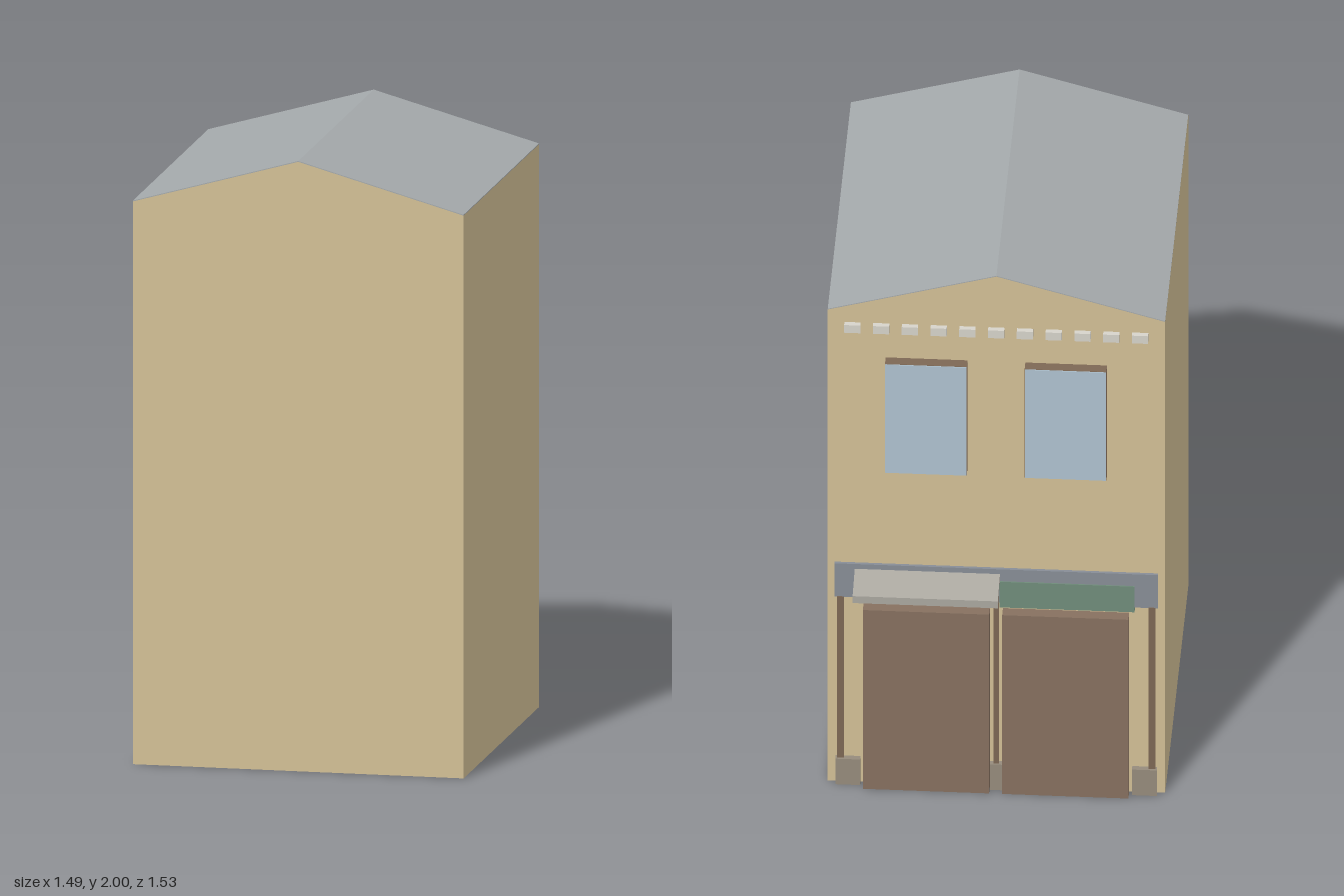
import * as THREE from 'three';

const W = 0.5425, D = 0.579, EAVE = 1.847, RIDGE = 2; // half width, half depth, heights

const mat = (color) => new THREE.MeshStandardMaterial({ color, flatShading: true });
const wallMat = mat(0xd2bf95), roofMat = mat(0xa4a9ab), woodMat = mat(0x86705f),
  frameMat = mat(0x7d6754), glassMat = mat(0xaec2d0), signMat = mat(0x878d96),
  greenMat = mat(0x6f8c7a), stoneMat = mat(0x958b7c), trimMat = mat(0xd6d3ca), awningMat = mat(0xaaa79f);

export function createModel() {
  const model = new THREE.Group();
  model.name = 'shopHouse';
  const house = new THREE.Group();
  house.name = 'house';
  house.rotation.y = Math.PI - 0.4745; // shop front looks backwards, house stands askew
  model.add(house);

  const add = (name, geometry, material) => {
    const mesh = new THREE.Mesh(geometry, material);
    mesh.name = name;
    house.add(mesh);
    return mesh;
  };
  // Box on the shop front: x and y ranges, and distance out from the wall
  const panel = (name, x0, x1, y0, y1, out, material, from = -0.004) => {
    const g = new THREE.BoxGeometry(x1 - x0, y1 - y0, out - from);
    g.translate((x0 + x1) / 2, (y0 + y1) / 2, D + (out + from) / 2);
    return add(name, g, material);
  };
  const prism = (points, depth) => new THREE.ExtrudeGeometry(
    new THREE.Shape(points.map(([x, y]) => new THREE.Vector2(x, y))),
    { depth, bevelEnabled: false });

  // Walls with gables
  const skin = 0.003;
  add('walls', prism([[-W, 0], [W, 0], [W, EAVE - skin], [0, RIDGE - skin], [-W, EAVE - skin]], 2 * D)
    .translate(0, 0, -D), wallMat);
  // Roof skin
  add('roof', prism([[-W, EAVE - skin], [0, RIDGE - skin], [W, EAVE - skin],
    [W, EAVE], [0, RIDGE], [-W, EAVE]], 2 * D).translate(0, 0, -D), roofMat);

  for (const s of [-1, 1]) {
    const side = s < 0 ? 'right' : 'left';
    const mirrored = (name, a, b, ...rest) =>
      panel(side + name, Math.min(s * a, s * b), Math.max(s * a, s * b), ...rest);
    // Upper windows
    mirrored('WindowFrame', 0.093, 0.356, 1.24, 1.665, 0.037, frameMat);
    mirrored('WindowGlass', 0.094, 0.355, 1.241, 1.664, 0.04, glassMat, 0.037);
    // Shop doors
    mirrored('Door', 0.021, 0.427, 0, 0.7, 0.04, woodMat);
    // Side posts and their stone bases
    mirrored('Post', 0.49, 0.512, 0.1, 0.73, 0.012, frameMat);
    mirrored('PostBase', 0.437, 0.517, 0, 0.1, 0.02, stoneMat);
  }

  // Middle post and base
  panel('middlePost', -0.009, 0.009, 0.1, 0.78, 0.014, frameMat);
  panel('middlePostBase', -0.02, 0.02, 0, 0.1, 0.02, stoneMat);

  // Fascia board with a green transom panel
  panel('fascia', -0.52, 0.52, 0.728, 0.858, 0.01, signMat);
  panel('transom', 0.01, 0.445, 0.712, 0.812, 0.014, greenMat);

  // Sloping awning over one door
  add('awning', prism([[0.008, 0.812], [0.117, 0.78], [0.117, 0.807], [0.008, 0.84]], 0.467)
    .rotateY(-Math.PI / 2).translate(0.012, 0, D), awningMat);

  // Row of cornice blocks
  for (let i = 0; i < 11; i++) {
    const x = (i - 5) * 0.0925;
    panel('corniceBlock' + (i + 1), x - 0.026, x + 0.026, 1.768, 1.798, 0.018, trimMat);
  }
  return model;
}
